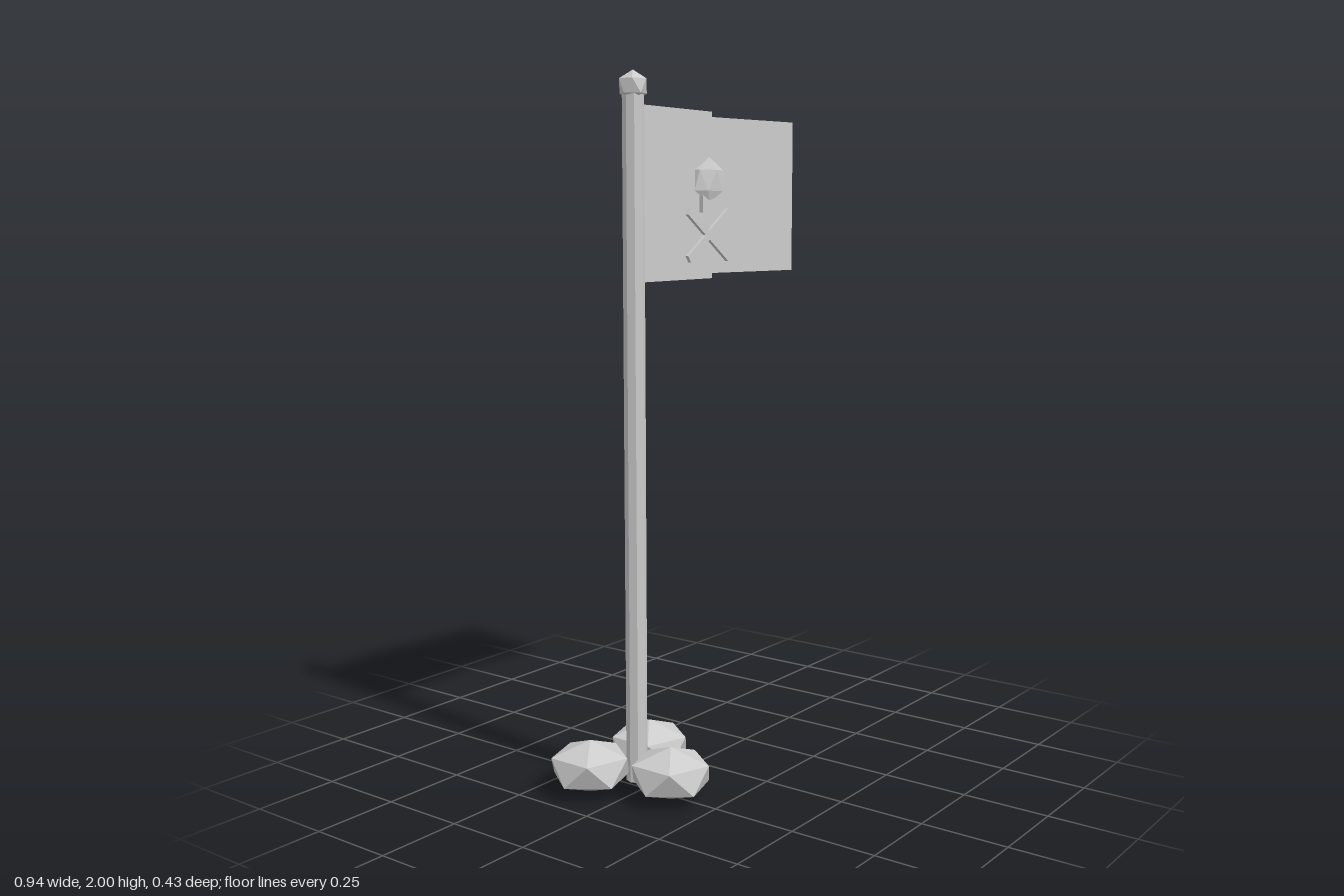
import * as THREE from 'three';

export function createModel() {
  const model = new THREE.Group();
  model.name = 'flagOnPole';
  const grey = new THREE.MeshStandardMaterial({ color: 0xcccccc });
  grey.name = 'light grey';

  const add = (name, geometry, x, y, z, parent = model) => {
    const mesh = new THREE.Mesh(geometry, grey);
    mesh.name = name;
    mesh.position.set(x, y, z);
    parent.add(mesh);
    return mesh;
  };

  // Faceted lump: an icosahedron standing on one corner, stretched per axis
  const lump = (rx, ry, rz) => new THREE.IcosahedronGeometry(1, 0)
    .rotateZ(-Math.atan(2 / (1 + Math.sqrt(5))))
    .scale(rx, ry, rz);

  // Octagonal pole and its knob
  const poleX = -0.25, poleZ = -0.027;
  const poleGeometry = new THREE.CylinderGeometry(0.03, 0.03, 1.92, 8).toNonIndexed();
  poleGeometry.computeVertexNormals();
  add('pole', poleGeometry, poleX, 0.985, poleZ);
  add('knob', lump(0.043, 0.043, 0.043), poleX, 1.957, poleZ);

  // Rocks holding the foot of the pole
  [[-0.357, -0.109], [-0.123, -0.082], [-0.266, 0.107]].forEach(([x, z], i) =>
    add('rock' + (i + 1), lump(0.125, 0.075, 0.125), x, 0.08, z));

  // Two flag panels, each spanning between two points seen from above
  const panel = (name, x0, z0, x1, z1, bottom, top) => {
    const dx = x1 - x0, dz = z1 - z0;
    const mesh = add(name, new THREE.BoxGeometry(Math.hypot(dx, dz), top - bottom, 0.011),
      (x0 + x1) / 2, (top + bottom) / 2, (z0 + z1) / 2);
    mesh.rotation.y = Math.atan2(-dz, dx);
  };
  panel('innerFlagPanel', -0.235, -0.02, 0.114, -0.038, 1.435, 1.91);
  panel('outerFlagPanel', 0.112, -0.038, 0.468, 0.007, 1.45, 1.895);

  // Skull and crossed bones on both faces of the flag
  [['front', -0.015, -0.017], ['back', -0.046, -0.042]].forEach(([side, skullZ, boneZ]) => {
    const emblem = new THREE.Group();
    emblem.name = side + 'Emblem';
    model.add(emblem);
    add('skull', lump(0.077, 0.066, 0.015), 0.077, 1.715, skullZ, emblem);
    add('jaw', new THREE.BoxGeometry(0.07, 0.055, 0.011), 0.077, 1.652, boneZ, emblem);
    for (const s of [-1, 1]) {
      const bone = add('bone', new THREE.BoxGeometry(0.235, 0.022, 0.01), 0.077, 1.56, boneZ, emblem);
      bone.rotation.z = s * 0.61;
    }
  });

  return model;
}
